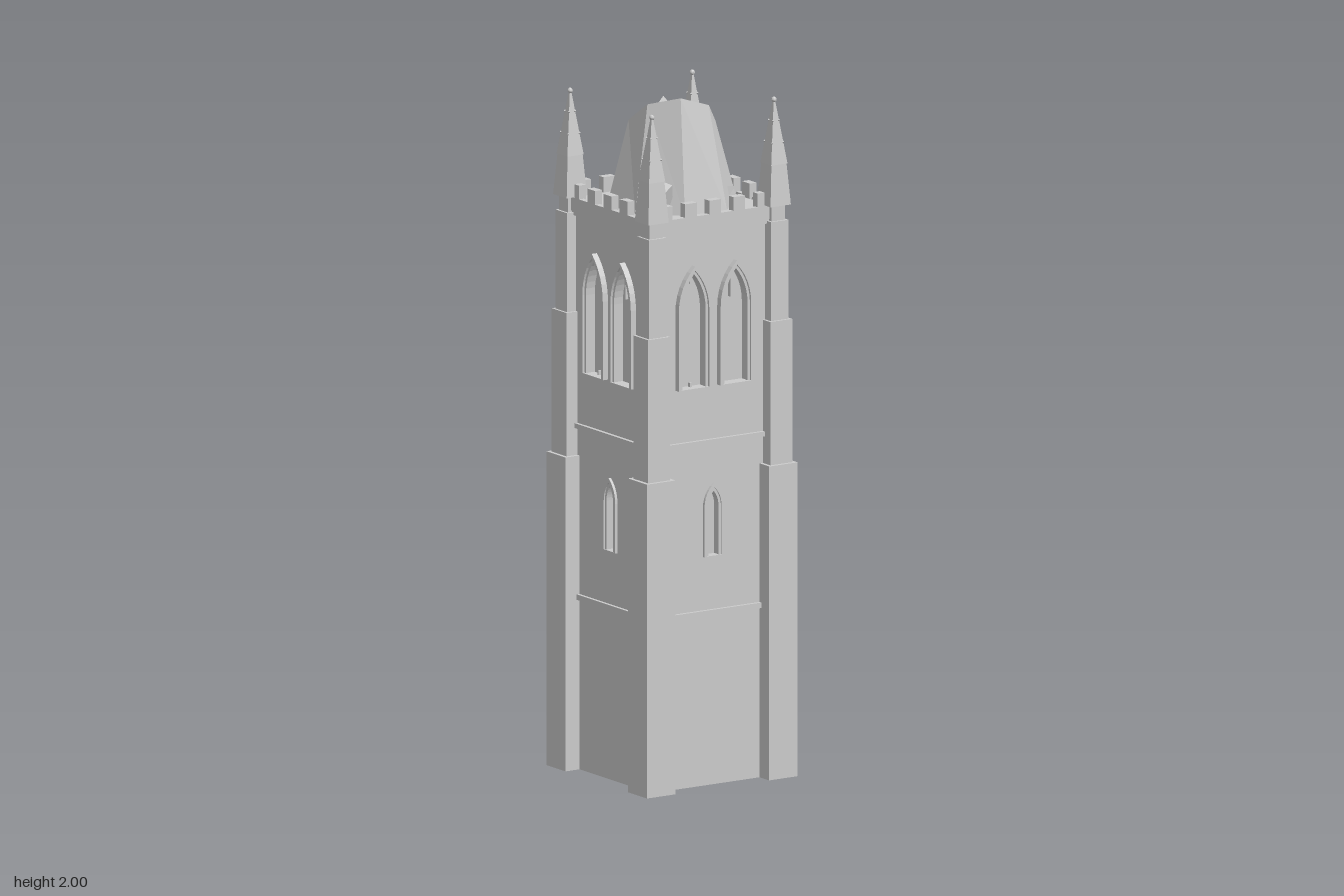
import * as THREE from 'three';

const material = new THREE.MeshStandardMaterial({ color: 0xcccccc, flatShading: true, side: THREE.DoubleSide });

function add(parent, name, geometry, x = 0, y = 0, z = 0) {
  const mesh = new THREE.Mesh(geometry, material);
  mesh.name = name;
  mesh.position.set(x, y, z);
  parent.add(mesh);
  return mesh;
}

// box given by its centre in x and z and its bottom and top in y
function block(parent, name, w, y0, y1, d, x = 0, z = 0) {
  return add(parent, name, new THREE.BoxGeometry(w, y1 - y0, d), x, (y0 + y1) / 2, z);
}

// pointed arch outline: straight jambs, then two arcs meeting at the apex
function arch(Type, cx, half, y0, spring, top) {
  const s = new Type(), rise = top - spring;
  s.moveTo(cx - half, y0);
  s.lineTo(cx + half, y0);
  s.lineTo(cx + half, spring);
  const n = 6, r = (half * half + rise * rise) / (2 * half), end = Math.asin(Math.min(1, rise / r));
  const right = [];
  for (let i = 1; i <= n; i++) {
    const a = (end * i) / n;
    right.push([half - r + r * Math.cos(a), spring + r * Math.sin(a)]);
  }
  right.forEach(([x, y]) => s.lineTo(cx + x, y));
  right.slice(0, -1).reverse().forEach(([x, y]) => s.lineTo(cx - x, y));
  s.lineTo(cx - half, spring);
  s.closePath();
  return s;
}

const windows = [
  { name: 'belfryWindow', x: -0.072, half: 0.057, y0: 1.17, spring: 1.4, top: 1.53 },
  { name: 'belfryWindow', x: 0.072, half: 0.057, y0: 1.17, spring: 1.4, top: 1.53 },
  { name: 'lancetWindow', x: 0, half: 0.034, y0: 0.67, spring: 0.815, top: 0.885 },
];

function inset(Type, w, t) {
  return arch(Type, w.x, w.half - t, w.y0 + 0.002, w.spring, w.top - t * 1.4);
}

function buildSide() {
  const side = new THREE.Group();
  side.name = 'towerSide';

  // wall skin pierced by the windows
  const wall = new THREE.Shape();
  wall.moveTo(-0.21, 0);
  wall.lineTo(0.21, 0);
  wall.lineTo(0.21, 1.64);
  wall.lineTo(-0.21, 1.64);
  wall.closePath();
  windows.forEach((w) => wall.holes.push(inset(THREE.Path, w, 0.016)));
  add(side, 'wall', new THREE.ExtrudeGeometry(wall, { depth: 0.025, bevelEnabled: false }), 0, 0, 0.185);

  // stepped window surrounds
  windows.forEach((w) => {
    const big = w.name === 'belfryWindow';
    [[0, 0.009, big ? 0.018 : 0.008], [0.008, 0.017, big ? 0.011 : 0.004]].forEach(([outer, inner, depth]) => {
      const frame = outer ? inset(THREE.Shape, w, outer) : arch(THREE.Shape, w.x, w.half, w.y0, w.spring, w.top);
      frame.holes.push(inset(THREE.Path, w, inner));
      add(side, w.name + 'Frame', new THREE.ExtrudeGeometry(frame, { depth, bevelEnabled: false }), 0, 0, 0.21);
    });
  });

  // remains of the broken tracery
  block(side, 'brokenMullion', 0.006, 1.42, 1.51, 0.012, 0.066, 0.2);
  block(side, 'brokenMullion', 0.006, 1.475, 1.51, 0.012, -0.072, 0.2);
  block(side, 'mullionStub', 0.006, 1.17, 1.185, 0.012, -0.072, 0.2);

  // string courses and cornice
  block(side, 'stringCourse', 0.34, 0.498, 0.514, 0.02, 0, 0.21);
  block(side, 'stringCourse', 0.36, 1.0, 1.014, 0.02, 0, 0.21);
  block(side, 'cornice', 0.43, 1.622, 1.637, 0.02, 0, 0.208);

  // parapet with merlons
  block(side, 'parapet', 0.444, 1.635, 1.675, 0.016, 0, 0.214);
  for (const x of [-0.158, -0.083, 0, 0.083, 0.158]) {
    block(side, 'merlon', Math.abs(x) > 0.1 ? 0.024 : 0.04, 1.67, 1.715, 0.024, x, 0.21);
  }
  return side;
}

// square frustum aligned with the axes
function frustum(top, bottom, height) {
  const g = new THREE.CylinderGeometry(top * Math.SQRT2, bottom * Math.SQRT2, height, 4);
  return g.rotateY(Math.PI / 4);
}

function buildCorner() {
  const corner = new THREE.Group();
  corner.name = 'corner';

  // buttress narrowing in three stages
  block(corner, 'lowerButtress', 0.098, 0, 0.92, 0.098);
  block(corner, 'middleButtress', 0.076, 0.92, 1.34, 0.076);
  block(corner, 'upperButtress', 0.06, 1.34, 1.63, 0.06);

  // pinnacle on a small corbel
  block(corner, 'pinnacleCorbel', 0.046, 1.63, 1.675, 0.046);
  add(corner, 'pinnacleBase', frustum(0.026, 0.035, 0.12), 0, 1.735, 0);
  add(corner, 'pinnacleSpire', frustum(0.003, 0.028, 0.18), 0, 1.885, 0);
  add(corner, 'finial', new THREE.SphereGeometry(0.008, 8, 6), 0, 1.981, 0);

  // crockets along the spire edges
  for (let i = 0; i < 4; i++) {
    const a = Math.PI / 4 + (i * Math.PI) / 2;
    for (const t of [0.35, 0.7]) {
      const r = (0.028 - 0.025 * t) * Math.SQRT2;
      add(corner, 'crocket', new THREE.OctahedronGeometry(0.004), r * Math.cos(a), 1.795 + 0.18 * t, r * Math.sin(a));
    }
  }
  return corner;
}

// octagonal spire stump broken off along a slope, with one jagged splinter
function brokenSpire() {
  const point = (i, apothem, y) => {
    const a = Math.PI / 8 + (i * Math.PI) / 4, r = apothem / Math.cos(Math.PI / 8);
    const x = r * Math.cos(a), z = r * Math.sin(a);
    return [x, y ?? (i === 6 + 0 && y === undefined ? 1.95 : 1.907 - 0.33 * x + 0.65 * z), z];
  };
  const base = [], rim = [], pos = [];
  for (let i = 0; i < 8; i++) {
    base.push(point(i, 0.175, 1.665));
    rim.push(point(i, 0.117));
  }
  const tri = (a, b, c) => pos.push(...a, ...b, ...c);
  for (let i = 0; i < 8; i++) {
    const j = (i + 1) % 8;
    tri(base[i], rim[i], rim[j]);
    tri(base[i], rim[j], base[j]);
  }
  // break surface, fanned so that the splinter keeps its own triangle
  for (let k = 1; k < 7; k++) tri(rim[7], rim[(7 + k + 1) % 8], rim[(7 + k) % 8]);
  const g = new THREE.BufferGeometry();
  g.setAttribute('position', new THREE.Float32BufferAttribute(pos, 3));
  g.computeVertexNormals();
  return g;
}

export function createModel() {
  const tower = new THREE.Group();
  tower.name = 'ruinedTower';

  block(tower, 'core', 0.38, 0, 1.64, 0.38);
  block(tower, 'roofDeck', 0.43, 1.635, 1.668, 0.43);

  for (let i = 0; i < 4; i++) {
    const side = buildSide();
    side.rotation.y = (i * Math.PI) / 2;
    tower.add(side);
    const corner = buildCorner();
    corner.position.set(i % 2 ? 0.21 : -0.21, 0, i < 2 ? 0.21 : -0.21);
    tower.add(corner);
  }

  add(tower, 'brokenSpire', brokenSpire());

  // fallen masonry leaning on the spire
  const rubble = add(tower, 'fallenBlock', new THREE.BoxGeometry(0.042, 0.075, 0.05), -0.122, 1.722, 0.128);
  rubble.rotation.set(0.25, 0.45, 0.3);
  const chip = add(tower, 'stoneChip', new THREE.TetrahedronGeometry(0.024), 0.112, 1.712, 0.12);
  chip.rotation.set(0.4, 0.3, 0.2);
  return tower;
}
